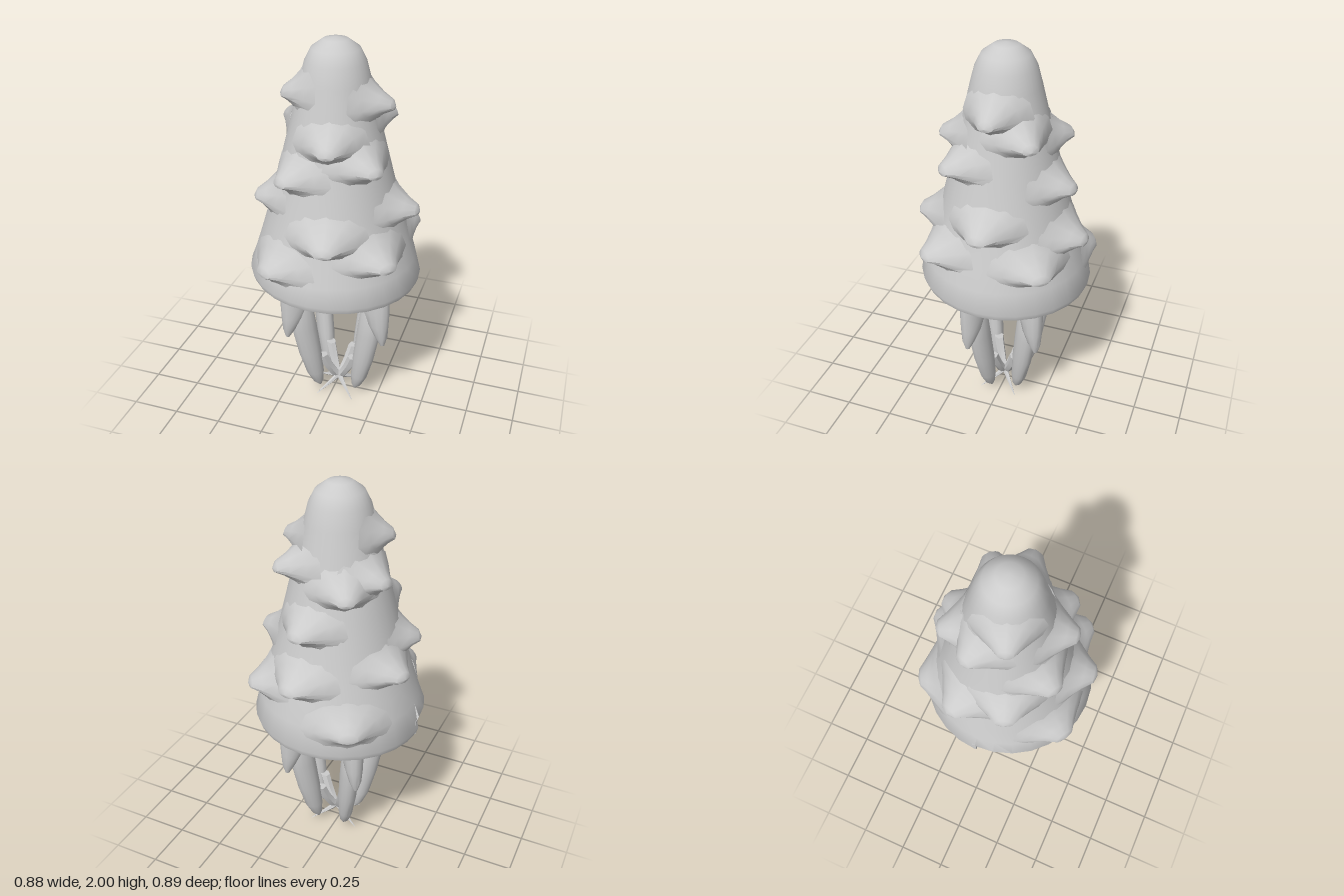
import * as THREE from 'three';
import { toCreasedNormals } from 'three/addons/utils/BufferGeometryUtils.js';

const material = new THREE.MeshStandardMaterial({ color: 0xcccccc, side: THREE.DoubleSide });
const rad = THREE.MathUtils.degToRad;

// Outer wall of the shell: [radius, height]
const WALL = [[0.44, 0.8], [0.412, 0.9], [0.38, 1], [0.35, 1.1], [0.32, 1.2], [0.269, 1.4], [0.218, 1.6],
  [0.17, 1.8], [0.146, 1.89], [0.115, 1.95], [0.06, 1.99], [0, 2]];

function wallRadius(y) {
  const i = Math.max(1, WALL.findIndex((p) => p[1] >= y));
  const [a, b] = [WALL[i - 1], WALL[i]];
  return THREE.MathUtils.mapLinear(y, a[1], b[1], a[0], b[0]);
}

function mesh(name, geometry, crease = 0.7) {
  const m = new THREE.Mesh(toCreasedNormals(geometry, crease), material);
  m.name = name;
  return m;
}

// Closed limb through elliptical rings [x, y, halfX, halfZ], listed top to bottom
function limb(name, rings, sides = 14) {
  const g = new THREE.CylinderGeometry(1, 1, 1, sides, rings.length - 1);
  const p = g.attributes.position;
  for (let i = 0; i < p.count; i++) {
    const [x, y, hx, hz] = rings[Math.round((0.5 - p.getY(i)) * (rings.length - 1))];
    p.setXYZ(i, x + p.getX(i) * hx, y, p.getZ(i) * hz);
  }
  return mesh(name, g);
}

// Conical shell whose rim sinks along one turn, leaving a step on the right side
function shell() {
  const profile = [[0, 0.85], [0.35, 0.85], [0.365, 0.785], [0.39, 0.768], [0.43, 0.77], ...WALL];
  const g = new THREE.LatheGeometry(profile.map((p) => new THREE.Vector2(...p)), 28, -Math.PI / 2);
  const p = g.attributes.position;
  for (let i = 0; i < p.count; i++) {
    const turn = Math.floor(i / profile.length) / 28;
    const row = i % profile.length;
    const y = p.getY(i);
    const drop = row < 2 ? 0 : THREE.MathUtils.clamp((0.9 - y) / 0.1, 0, 1);
    p.setY(i, y + drop * (0.028 - 0.07 * turn));
  }
  return mesh('shell', g);
}

// Blunt thorn with a flared skirt that hugs the curved, sloping wall
function thorn(angle, y, tipRadius) {
  const r = wallRadius(y);
  const width = 0.13 + 0.23 * r;
  const profile = [[1, -0.08], [0.72, 0.12], [0.42, 0.5], [0.22, 0.9], [0, 1]];
  const g = new THREE.LatheGeometry(profile.map((p) => new THREE.Vector2(...p)), 12);
  g.rotateX(Math.PI / 2);
  const p = g.attributes.position;
  for (let i = 0; i < p.count; i++) {
    const x = p.getX(i) * width;
    const h = p.getY(i) * (p.getY(i) > 0 ? 0.145 : 0.075);
    p.setXYZ(i, x, h, p.getZ(i) * (tipRadius - r) - h * 0.27 - x * x / (2 * r));
  }
  const m = mesh('thorn', g, 0.6);
  const a = rad(90 - angle);
  m.position.set(Math.sin(a) * r, y, Math.cos(a) * r);
  m.rotation.y = a;
  return m;
}

// Leg reaching outward along local x
function leg(angle) {
  const group = new THREE.Group();
  group.name = 'leg';
  group.add(
    limb('thigh', [[0.235, 0.87, 0.07, 0.045], [0.24, 0.75, 0.085, 0.05], [0.245, 0.62, 0.083, 0.052],
      [0.262, 0.54, 0.062, 0.046], [0.285, 0.47, 0.035, 0.032], [0.295, 0.42, 0.012, 0.012]]),
    limb('shin', [[0.215, 0.66, 0.03, 0.025], [0.215, 0.6, 0.06, 0.042], [0.2, 0.45, 0.068, 0.048],
      [0.17, 0.28, 0.062, 0.046], [0.142, 0.14, 0.048, 0.037], [0.125, 0.07, 0.028, 0.024], [0.115, 0.04, 0.008, 0.008]]),
    limb('claw', [[0.1, 0.24, 0.032, 0.026], [0.07, 0.17, 0.03, 0.024], [0.02, 0.085, 0.028, 0.018],
      [-0.05, 0.045, 0.028, 0.011], [-0.15, 0.002, 0.002, 0.002]], 6),
  );
  group.position.x = 0.02;
  group.rotation.y = -rad(angle);
  return group;
}

export function createModel() {
  const model = new THREE.Group();
  model.name = 'thornyShellCreature';
  model.add(shell());

  // Small wall closing the step where the rim's two ends meet
  const step = mesh('rimStep', new THREE.BoxGeometry(0.065, 0.075, 0.02));
  step.position.set(-0.4, 0.768, -0.01);
  model.add(step);

  // Thorns: [angle from +x towards the front, height, tip radius], two rounds of nine
  const thorns = [
    [160, 1.74, 0.26], [0, 1.7, 0.293], [320, 1.6, 0.325], [200, 1.57, 0.31], [80, 1.54, 0.328],
    [240, 1.53, 0.335], [40, 1.44, 0.36], [120, 1.37, 0.365], [280, 1.34, 0.378],
    [160, 1.21, 0.405], [0, 1.18, 0.432], [200, 1.13, 0.44], [80, 1.1, 0.45], [280, 1.08, 0.45],
    [40, 1.0, 0.48], [320, 0.99, 0.475], [120, 0.93, 0.48], [240, 0.89, 0.48],
  ];
  for (const t of thorns) model.add(thorn(...t));

  // Four legs, unevenly spread around the body
  for (const angle of [22, -52, 140, -135]) model.add(leg(angle));
  return model;
}
